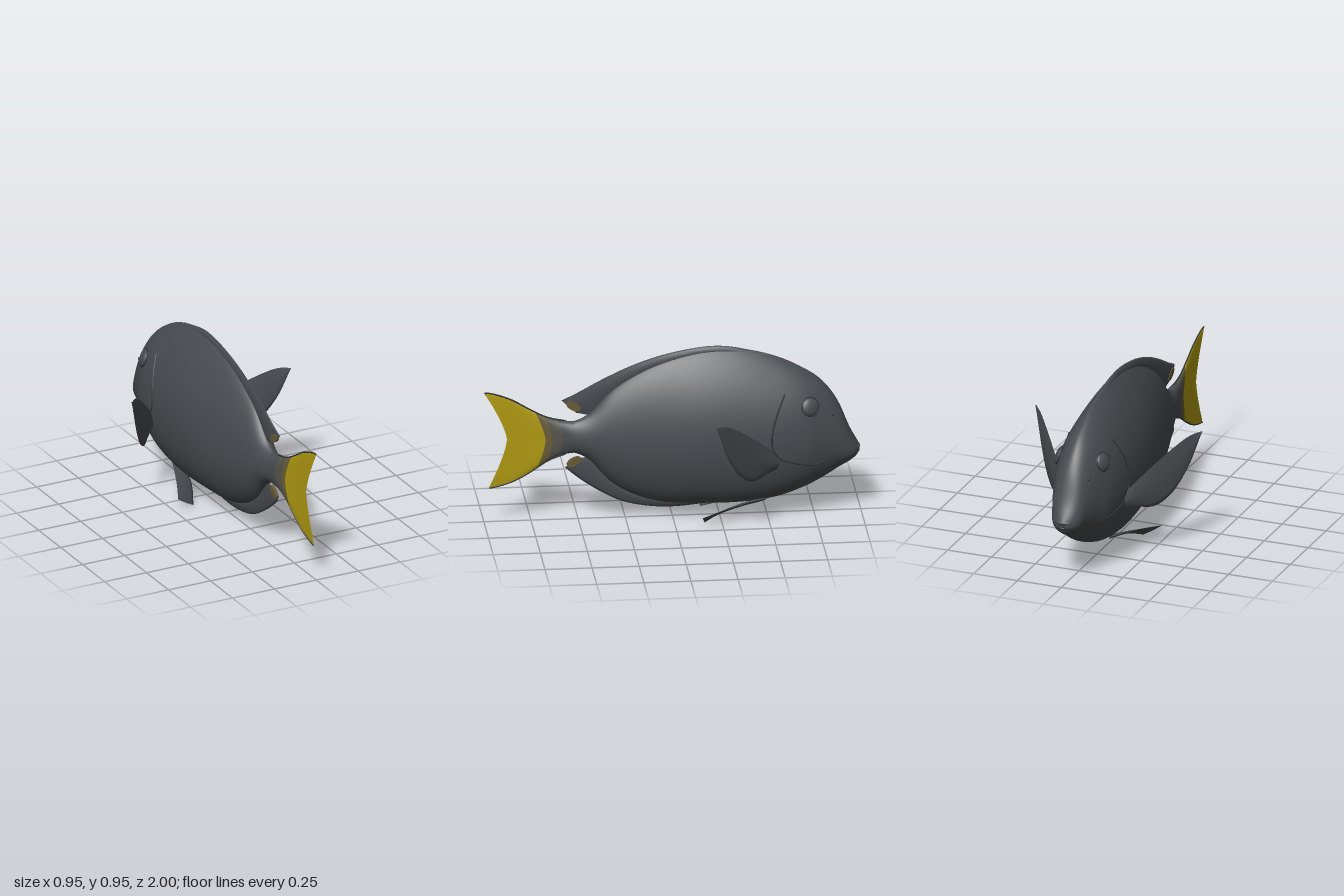
import * as THREE from 'three';

const mat = (name, color) => {
  const m = new THREE.MeshStandardMaterial({ color, side: THREE.DoubleSide });
  m.name = name;
  return m;
};
const V = (x, y, z) => new THREE.Vector3(x, y, z);

// Body stations from mouth to tail root: z, top, bottom, half width, upper and lower roundness
const STATIONS = [
  [-0.992, 0.375, 0.335, 0.02, 1, 1],
  [-0.975, 0.405, 0.315, 0.05, 1, 1],
  [-0.94, 0.47, 0.285, 0.077, 1, 1],
  [-0.88, 0.615, 0.25, 0.1, 1.05, 1],
  [-0.8, 0.73, 0.2, 0.13, 1.15, 1],
  [-0.7, 0.807, 0.15, 0.165, 1.3, 1],
  [-0.55, 0.882, 0.1, 0.186, 1.6, 0.95],
  [-0.35, 0.932, 0.075, 0.188, 1.75, 0.95],
  [-0.15, 0.928, 0.075, 0.177, 1.75, 1.05],
  [0.05, 0.875, 0.085, 0.147, 1.6, 1.2],
  [0.2, 0.805, 0.13, 0.118, 1.5, 1.3],
  [0.33, 0.715, 0.21, 0.09, 1.4, 1.3],
  [0.44, 0.595, 0.335, 0.065, 1.2, 1.2],
  [0.52, 0.553, 0.378, 0.046, 1, 1],
  [0.58, 0.55, 0.38, 0.033, 1, 1],
];

// Smooth interpolation of one column of the station table
function at(z, c) {
  const S = STATIONS, n = S.length;
  let i = 0;
  while (i < n - 2 && z > S[i + 1][0]) i++;
  const slope = (k) => {
    const a = S[Math.max(k - 1, 0)], b = S[Math.min(k + 1, n - 1)];
    return (b[c] - a[c]) / (b[0] - a[0]);
  };
  const h = S[i + 1][0] - S[i][0];
  const t = Math.min(Math.max((z - S[i][0]) / h, 0), 1), t2 = t * t, t3 = t2 * t;
  return S[i][c] * (2 * t3 - 3 * t2 + 1) + slope(i) * h * (t3 - 2 * t2 + t)
    + S[i + 1][c] * (3 * t2 - 2 * t3) + slope(i + 1) * h * (t3 - t2);
}
const midAt = (z) => THREE.MathUtils.lerp(at(z, 2), at(z, 1), 0.43);

// Half width of the body at a height
function sideX(z, y) {
  const mid = midAt(z), up = y > mid;
  const s = (y - mid) / (up ? at(z, 1) - mid : mid - at(z, 2));
  return at(z, 3) * Math.pow(Math.max(1 - s * s, 0), at(z, up ? 4 : 5) / 2);
}
const onSide = (z, y, lift = 0) => V(sideX(z, y) + lift, y, z);

// Grid surface from a point rule
function surface(fn, nu, nv, u0 = 0, u1 = 1) {
  const pos = [], idx = [];
  for (let i = 0; i <= nu; i++) {
    for (let j = 0; j <= nv; j++) pos.push(...fn(u0 + (u1 - u0) * i / nu, j / nv).toArray());
  }
  for (let i = 0; i < nu; i++) {
    for (let j = 0; j < nv; j++) {
      const a = i * (nv + 1) + j, b = a + nv + 1;
      idx.push(a, a + 1, b, a + 1, b + 1, b);
    }
  }
  const g = new THREE.BufferGeometry();
  g.setAttribute('position', new THREE.Float32BufferAttribute(pos, 3));
  g.setIndex(idx);
  g.computeVertexNormals();
  return g;
}

// Thin fin stretched between two edges, swollen along a normal
function blade(edgeA, edgeB, normal, thick) {
  const a = new THREE.CatmullRomCurve3(edgeA), b = new THREE.CatmullRomCurve3(edgeB);
  return surface((u, v) => {
    const t = 1 - Math.abs(2 * v - 1);
    const swell = Math.sin(2 * Math.PI * v) * thick * (1 - 0.7 * u);
    return a.getPoint(u).lerp(b.getPoint(u), t).addScaledVector(normal, swell);
  }, 28, 16);
}

export function createModel() {
  const skin = mat('charcoal skin', 0x474c50);
  const rim = mat('dark edge', 0x33373a);
  const yellow = mat('tail yellow', 0xb09a10);
  const brown = mat('olive brown', 0x685d38);
  const grey = mat('brown grey', 0x55534a);

  const group = new THREE.Group();
  const add = (name, geo, m, parent = group) => {
    const mesh = new THREE.Mesh(geo, m);
    mesh.name = name;
    parent.add(mesh);
    return mesh;
  };

  // Body
  add('body', surface((u, v) => {
    const z = -0.992 + 1.572 * Math.pow(u, 1.25), a = 2 * Math.PI * v - Math.PI / 2;
    const s = Math.sin(a), c = Math.cos(a), mid = midAt(z), up = s > 0;
    const y = mid + s * (up ? at(z, 1) - mid : mid - at(z, 2));
    return V(Math.sign(c) * at(z, 3) * Math.pow(Math.abs(c), at(z, up ? 4 : 5)), y, z);
  }, 80, 64), skin);

  // Dorsal and anal fins, as [z, y] edges
  const flat = (pts) => pts.map(([z, y]) => V(0, y, z));
  const side = V(1, 0, 0);
  add('dorsalFin', blade(
    flat([[-0.5, 0.88], [-0.25, 0.9], [0, 0.85], [0.2, 0.76], [0.34, 0.66], [0.43, 0.59], [0.51, 0.6]]),
    flat([[-0.5, 0.9], [-0.25, 0.951], [0, 0.922], [0.2, 0.862], [0.37, 0.785], [0.5, 0.715], [0.588, 0.672]]),
    side, 0.016), skin);
  add('analFin', blade(
    flat([[-0.2, 0.1], [0, 0.12], [0.15, 0.15], [0.28, 0.21], [0.37, 0.29], [0.43, 0.345], [0.49, 0.347]]),
    flat([[-0.2, 0.07], [0, 0.054], [0.15, 0.066], [0.28, 0.1], [0.4, 0.165], [0.5, 0.235], [0.57, 0.295]]),
    side, 0.016), skin);
  for (const [name, y, z, tilt] of [['dorsalFinPatch', 0.638, 0.525, 0.65], ['analFinPatch', 0.325, 0.522, -0.65]]) {
    const p = add(name, new THREE.CylinderGeometry(1, 1, 0.0095, 24), brown);
    p.scale.set(0.022, 1.6, 0.042);
    p.rotation.set(0, 0, Math.PI / 2);
    const holder = new THREE.Group();
    holder.name = name + 'Holder';
    holder.add(p);
    holder.position.set(0, y, z);
    holder.rotation.x = -tilt * 0.8;
    group.add(holder);
  }

  // Tail fin, split into colour bands
  const upper = new THREE.SplineCurve([[0, 0.555], [0.2, 0.565], [0.4, 0.602], [0.6, 0.66], [0.8, 0.708], [1, 0.73]].map((p) => new THREE.Vector2(...p)));
  const lower = new THREE.SplineCurve([[0, 0.376], [0.2, 0.36], [0.4, 0.31], [0.6, 0.25], [0.8, 0.213], [1, 0.192]].map((p) => new THREE.Vector2(...p)));
  const tailPoint = (u, h, face) => {
    const e = Math.pow(Math.abs(2 * h - 1), 1.4);
    const end = 0.877 + e * (h > 0.5 ? 0.123 : 0.098);
    const half = (0.004 + 0.044 * Math.pow(1 - u, 2.4)) * Math.sqrt(Math.max(1 - (2 * h - 1) ** 2, 0));
    return V(face * half, THREE.MathUtils.lerp(lower.getPoint(u).y, upper.getPoint(u).y, h), 0.52 + u * (end - 0.52));
  };
  const tailRing = (u, v) => (v < 0.5 ? tailPoint(u, 2 * v, 1) : tailPoint(u, 2 - 2 * v, -1));
  for (const [name, u0, u1, m] of [['tailRoot', 0, 0.18, skin], ['tailGreyBand', 0.18, 0.33, grey],
    ['tailBrownBand', 0.33, 0.43, brown], ['tailFin', 0.43, 1, yellow]]) {
    add(name, surface(tailRing, name === 'tailFin' ? 20 : 6, 48, u0, u1), m);
  }
  for (const h of [0, 1]) {
    const path = [0.1, 0.3, 0.5, 0.7, 0.9, 0.99].map((u) => tailPoint(u, h, 0));
    add(h ? 'upperTailEdge' : 'lowerTailEdge', new THREE.TubeGeometry(new THREE.CatmullRomCurve3(path), 30, 0.004, 6), rim);
  }

  // Lips
  for (const [name, y, z, s] of [['upperLip', 0.366, -0.957, [0.055, 0.018, 0.04]], ['lowerLip', 0.318, -0.938, [0.05, 0.019, 0.04]]]) {
    const lip = add(name, new THREE.SphereGeometry(1, 24, 16), skin);
    lip.scale.set(...s);
    lip.position.set(0, y, z);
  }
  const mouth = add('mouthLine', new THREE.SphereGeometry(1, 20, 12), rim);
  mouth.scale.set(0.054, 0.006, 0.042);
  mouth.position.set(0, 0.343, -0.95);

  // Paired parts, made on the left and mirrored
  for (const sgn of [1, -1]) {
    const half = new THREE.Group();
    half.name = sgn > 0 ? 'leftSide' : 'rightSide';
    half.scale.x = sgn;
    group.add(half);

    // Eye set along the surface normal
    const ez = -0.72, ey = 0.635, d = 0.03;
    const n = V(1, -(sideX(ez, ey + d) - sideX(ez, ey - d)) / (2 * d), -(sideX(ez + d, ey) - sideX(ez - d, ey)) / (2 * d)).normalize();
    const eye = new THREE.Group();
    eye.name = 'eye';
    eye.position.copy(onSide(ez, ey));
    eye.quaternion.setFromUnitVectors(V(0, 0, 1), n);
    half.add(eye);
    add('eyeball', new THREE.SphereGeometry(0.048, 28, 18), skin, eye).scale.z = 0.4;
    add('eyeRing', new THREE.TorusGeometry(0.05, 0.004, 8, 36), rim, eye);

    // Gill cover edge
    const gill = [[-0.585, 0.71], [-0.545, 0.62], [-0.515, 0.52], [-0.515, 0.43], [-0.56, 0.365], [-0.64, 0.335], [-0.72, 0.315], [-0.8, 0.32]];
    add('gillEdge', new THREE.TubeGeometry(new THREE.CatmullRomCurve3(gill.map(([z, y]) => onSide(z, y))), 60, 0.005, 6), rim, half);

    // Nostril
    const nostril = add('nostril', new THREE.SphereGeometry(0.008, 10, 8), rim, half);
    nostril.position.copy(onSide(-0.84, 0.575));

    // Pectoral fin swept out and back, as [x, y] edges
    const swept = (pts) => pts.map(([x, y]) => V(x, y, -0.53 + (x - 0.18) * 1.16));
    add('pectoralFin', blade(
      swept([[0.165, 0.38], [0.2, 0.425], [0.28, 0.515], [0.37, 0.605], [0.425, 0.648], [0.475, 0.662]]),
      swept([[0.165, 0.31], [0.225, 0.3], [0.29, 0.287], [0.355, 0.34], [0.42, 0.475], [0.472, 0.655]]),
      V(0.76, 0, -0.65), 0.014), skin, half);

    // Pelvic fin
    add('pelvicFin', blade(
      [V(0.075, 0.11, -0.5), V(0.12, 0.1, -0.38), V(0.17, 0.085, -0.26), V(0.225, 0.065, -0.14)],
      [V(0.03, 0.08, -0.42), V(0.05, 0.06, -0.33), V(0.085, 0.035, -0.24), V(0.125, 0.004, -0.16)],
      V(-0.4, 0.9, 0.15), 0.01), skin, half);
  }
  return group;
}
